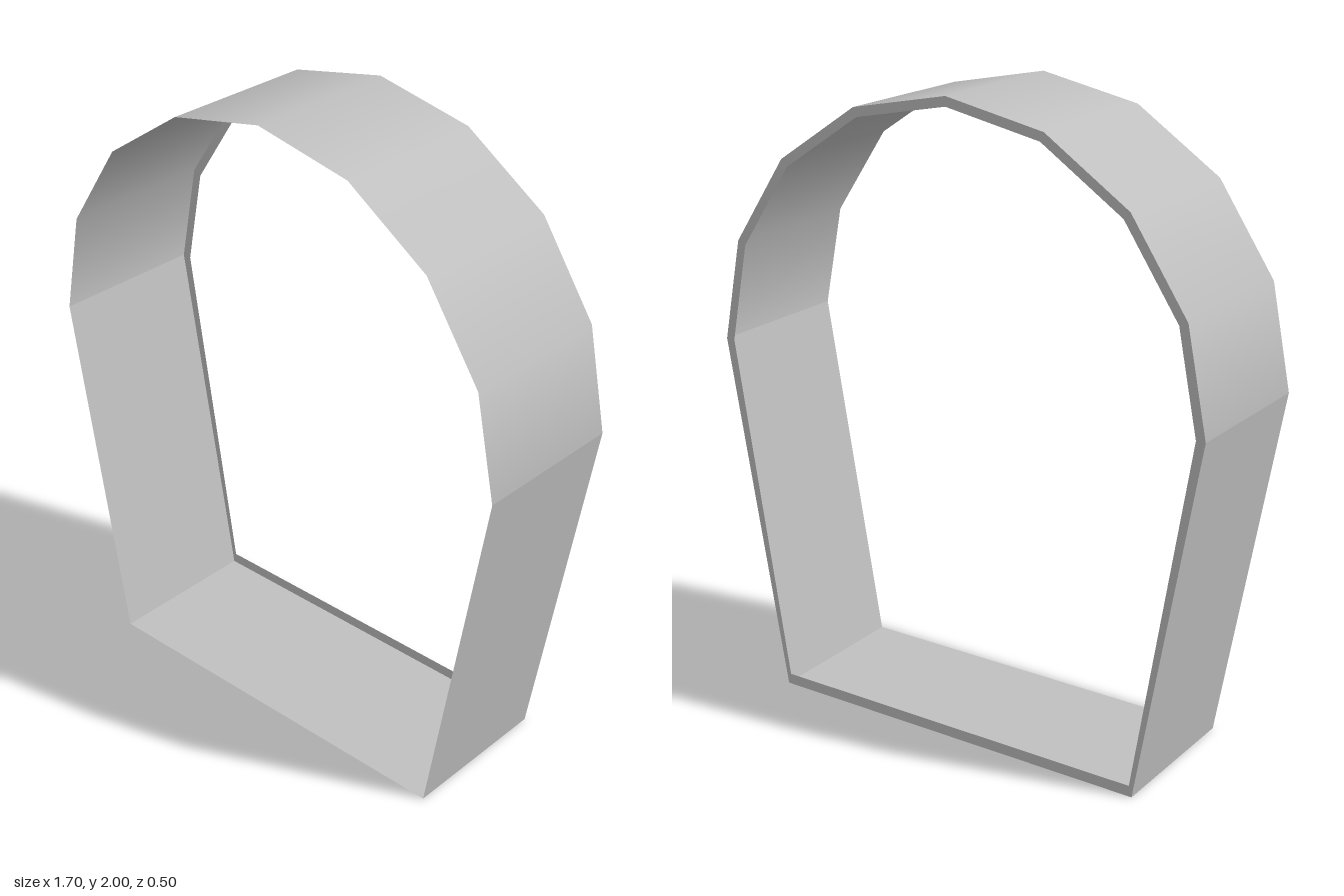
import * as THREE from 'three';

const DEPTH = 0.505, SPRING = 1.15, RADIUS = 0.85, FOOT = 0.65, STEPS = 8;

// Closed outline: a flat foot, leaning sides and an eight-sided half-round top
function outline(radius, foot, bottom) {
  const points = [new THREE.Vector2(-foot, bottom), new THREE.Vector2(foot, bottom)];
  for (let i = 0; i <= STEPS; i++) {
    const a = (i / STEPS) * Math.PI;
    points.push(new THREE.Vector2(radius * Math.cos(a), SPRING + radius * Math.sin(a)));
  }
  return points;
}

export function createModel() {
  const group = new THREE.Group();
  group.name = 'archFrame';
  const grey = new THREE.MeshStandardMaterial({ color: 0xc0c0c0, side: THREE.DoubleSide });
  grey.name = 'light grey';

  const add = (name, geometry, x, y, z) => {
    const mesh = new THREE.Mesh(geometry, grey);
    mesh.name = name;
    mesh.position.set(x, y, z);
    group.add(mesh);
  };

  // Curved top band, smooth around the arch
  const arch = new THREE.CylinderGeometry(RADIUS, RADIUS, DEPTH, STEPS, 1, true, Math.PI / 2, Math.PI);
  add('archBand', arch.rotateX(Math.PI / 2), 0, SPRING, 0);

  // Flat side walls, leaning outward from the foot to the arch
  const lean = RADIUS - FOOT;
  for (const side of [1, -1]) {
    const wall = new THREE.PlaneGeometry(DEPTH, Math.hypot(lean, SPRING));
    wall.rotateY(side * Math.PI / 2).rotateZ(-side * Math.atan2(lean, SPRING));
    add(side > 0 ? 'leftWall' : 'rightWall', wall, side * (FOOT + RADIUS) / 2, SPRING / 2, 0);
  }

  // Floor
  add('floor', new THREE.PlaneGeometry(2 * FOOT, DEPTH).rotateX(Math.PI / 2), 0, 0, 0);

  // Narrow flange around the back opening
  const ring = new THREE.Shape(outline(RADIUS, FOOT, 0));
  ring.holes.push(new THREE.Path(outline(0.82, 0.64, 0.035)));
  add('backFlange', new THREE.ShapeGeometry(ring), 0, 0, -DEPTH / 2);

  return group;
}
